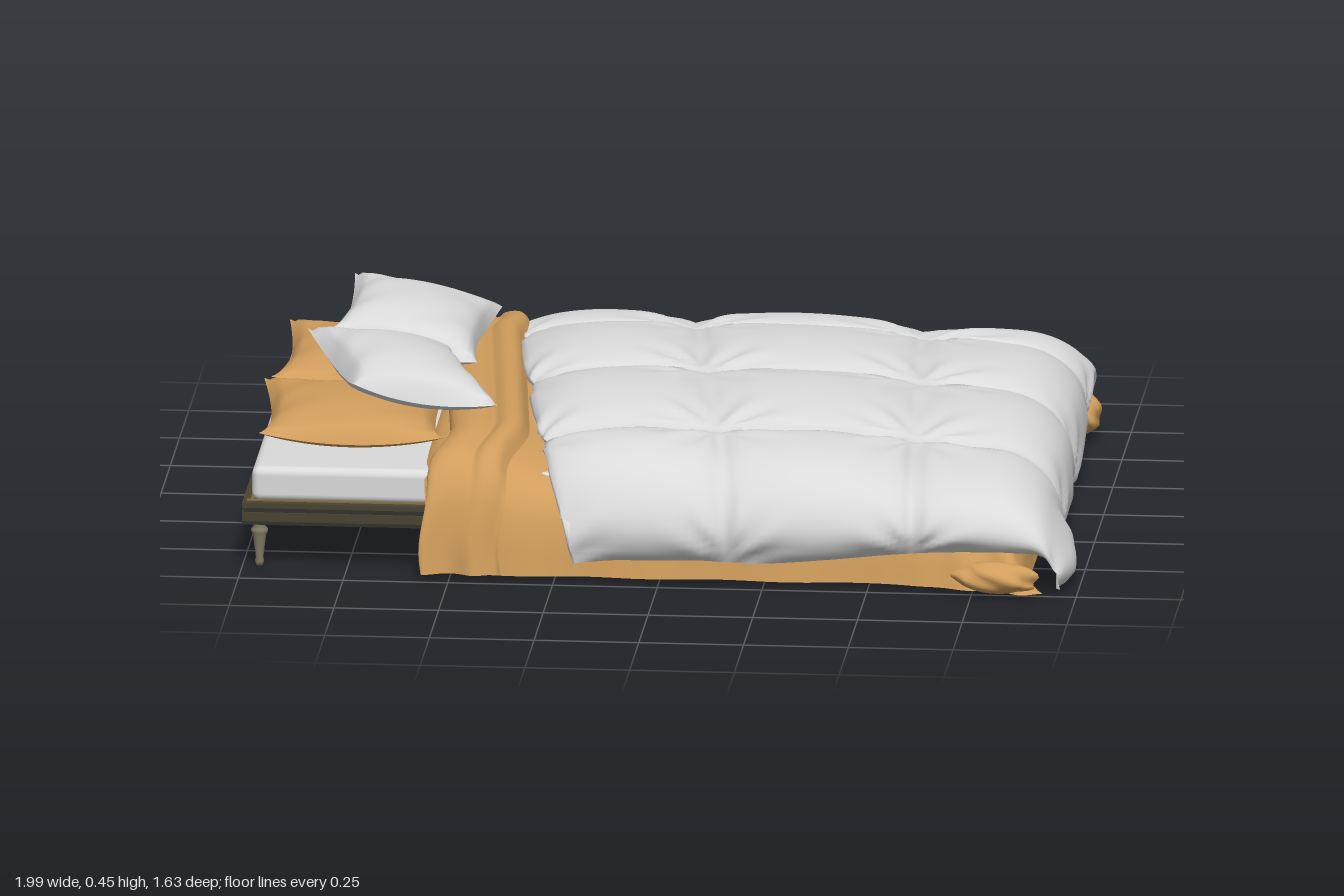
import * as THREE from 'three';
import { ParametricGeometry } from 'three/addons/geometries/ParametricGeometry.js';
import { RoundedBoxGeometry } from 'three/addons/geometries/RoundedBoxGeometry.js';

const mat = (name, color, side = THREE.FrontSide) => {
  const m = new THREE.MeshStandardMaterial({ color, side });
  m.name = name;
  return m;
};
const smooth = THREE.MathUtils.smoothstep;
const lerp = THREE.MathUtils.lerp;
const curve = (pts) => new THREE.CatmullRomCurve3(pts.map(([x, y]) => new THREE.Vector3(x, y, 0)));

// Cloth laid over the bed: one profile along x, one half profile across z.
// The across profile holds [distance, drop]; drop 1 is the hanging hem.
function drape(along, across, bottom, nu, nv, warp) {
  const A = curve(along);
  const C = curve(across.map(([z, d]) => [z, d * 0.28]));
  const geo = new ParametricGeometry((u, v, p) => {
    const t = 2 * u - 1;
    const c = C.getPointAt(Math.min(1, Math.abs(t)));
    const a = A.getPointAt(THREE.MathUtils.clamp(v, 0, 1));
    const drop = c.y / 0.28;
    p.set(a.x, lerp(a.y, Math.min(bottom, a.y), drop), Math.sign(t) * c.x);
    warp(p, drop, t, v);
  }, nu, nv);
  geo.computeVertexNormals();
  return geo;
}

// Soft cushion with pinched edges and pointed corners; the underside is flatter
function cushion(w, h, l) {
  const group = new THREE.Group();
  for (const s of [1, -1]) {
    const geo = new ParametricGeometry((u, v, p) => {
      const a = s * (2 * u - 1), b = 2 * v - 1;
      const fill = Math.max(0, (1 - a * a) * (1 - b * b));
      const crease = 0.07 * Math.sin(9 * a + 4 * b) * (1 - fill) * Math.sqrt(fill);
      p.set(
        (w / 2) * b * (1 - 0.11 * (1 - a * a) * b * b),
        h * (s > 0 ? 0.78 : -0.22) * (Math.pow(fill, 0.42) + crease) + 0.03 * a * a * b * b,
        (l / 2) * a * (1 - 0.09 * (1 - b * b) * a * a));
    }, 26, 22);
    geo.computeVertexNormals();
    group.add(new THREE.Mesh(geo));
  }
  return group;
}

export function createModel() {
  const white = mat('white linen', 0xdadada, THREE.DoubleSide);
  const ochre = mat('ochre cloth', 0xd09d5c, THREE.DoubleSide);
  const wood = mat('dark wood', 0x4a4332);
  const trim = mat('worn gilt trim', 0x80693f);
  const metal = mat('leg wood', 0x857b67);
  const under = mat('black underside', 0x31322a);

  const model = new THREE.Group();
  const add = (name, geo, m, x = 0, y = 0, z = 0) => {
    const mesh = new THREE.Mesh(geo, m);
    mesh.name = name;
    mesh.position.set(x, y, z);
    model.add(mesh);
    return mesh;
  };

  // Bed base: two-bar rails around a dark recess, trim strips and underside panel
  const x0 = -1, x1 = 0.86, hz = 0.65, len = x1 - x0, mid = (x0 + x1) / 2;
  for (const s of [1, -1]) {
    for (const [y, h] of [[0.124, 0.022], [0.152, 0.012]]) {
      add('sideRail', new THREE.BoxGeometry(len, h, 0.03), wood, mid, y, s * (hz - 0.015));
      add('endRail', new THREE.BoxGeometry(0.03, h, 2 * hz), wood, mid + s * (len / 2 - 0.015), y, 0);
    }
    add('sideTrim', new THREE.BoxGeometry(len - 0.02, 0.006, 0.01), trim, mid, 0.158, s * (hz - 0.024));
  }
  add('headTrim', new THREE.BoxGeometry(0.008, 0.006, 2 * hz - 0.05), trim, x0 + 0.022, 0.158, 0);
  add('railRecess', new THREE.BoxGeometry(len - 0.008, 0.04, 2 * hz - 0.008), under, mid, 0.134, 0);
  add('undersidePanel', new THREE.BoxGeometry(len, 0.01, 2 * hz), under, mid, 0.11, 0);

  // Turned legs
  const legProfile = [[0, 0], [0.008, 0], [0.011, 0.01], [0.009, 0.02], [0.016, 0.075], [0.02, 0.082],
    [0.02, 0.09], [0.014, 0.096], [0.018, 0.11]].map(([r, y]) => new THREE.Vector2(r, y));
  for (const x of [-0.96, 0.82]) for (const z of [-0.625, 0.625])
    add('leg', new THREE.LatheGeometry(legProfile, 12), metal, x, 0, z);

  // Mattress
  add('mattress', new RoundedBoxGeometry(1.735, 0.085, 1.235, 4, 0.02), white, -0.1125, 0.195, 0);

  // Ochre blanket hanging to the floor, flaring at the foot corners
  const hang = [[0, 0], [0.3, 0], [0.52, 0.03], [0.62, 0.12], [0.675, 0.32], [0.7, 0.6], [0.715, 1]];
  const blanketWarp = (p, drop, t) => {
    const foot = smooth(p.x, 0.55, 0.88), head = 1 - smooth(p.x, -0.57, -0.1);
    const side = Math.sign(t), x = p.x;
    if (side < 0) p.x -= 0.11 * head * smooth(-p.z, 0.52, 0.68);
    else p.x += 0.03 * head * drop;
    p.z += side * drop * (0.006 * Math.sin(19 * x + 2 * side) + foot * (0.07 + 0.015 * Math.sin(55 * x)));
    p.x += 0.04 * foot * smooth(Math.abs(t), 0.8, 1);
    p.y += 0.004 * Math.sin(5 * p.z + 18 * x) * (1 - drop);
  };
  add('blanket', drape([[-0.57, 0.25], [-0.55, 0.27], [-0.47, 0.285], [-0.38, 0.28], [-0.28, 0.262], [0.3, 0.255],
    [0.65, 0.235], [0.82, 0.205], [0.86, 0.12], [0.88, 0.015]], hang, 0.012, 70, 90, blanketWarp), ochre);

  // Folded hem lying over the blanket's head edge
  const wide = hang.map(([z, d]) => [z + (d > 0.1 ? 0.014 : 0), d]);
  add('foldedHem', drape([[-0.565, 0.265], [-0.56, 0.295], [-0.52, 0.32], [-0.47, 0.318], [-0.455, 0.308], [-0.44, 0.324],
    [-0.4, 0.326], [-0.375, 0.285]], wide, 0.015, 70, 20, (p, drop, t, v) => {
    p.x += 0.1 * p.z * (1 - smooth(Math.abs(p.z), 0.4, 0.66)) + 0.008 * Math.sin(6 * drop) * Math.sign(t);
    if (t < 0) p.x -= 0.05 * smooth(-p.z, 0.5, 0.68);
    p.z += Math.sign(t) * drop * 0.01 * Math.sin(v * 12);
  }), ochre);

  // Bunched blanket corners on the floor
  for (const [x, z, sx, sy, sz, r] of [[0.81, 0.765, 0.1, 0.038, 0.04, -0.1], [0.885, -0.7, 0.045, 0.05, 0.085, 0.2]]) {
    const lump = new THREE.SphereGeometry(1, 28, 16);
    const q = lump.attributes.position;
    for (let i = 0; i < q.count; i++) {
      const k = 1 + 0.1 * Math.sin(6 * q.getX(i) + 5 * q.getY(i)) + 0.07 * Math.sin(9 * q.getZ(i));
      q.setXYZ(i, q.getX(i) * k * sx, q.getY(i) * sy, q.getZ(i) * k * sz);
    }
    lump.computeVertexNormals();
    add('bunchedCorner', lump, ochre, x, sy + 0.01, z).rotation.y = r;
  }

  // Quilted duvet: draped base, then puffed along its normals between seams
  const nu = 112, nv = 96;
  const duvet = drape(
    [[-0.37, 0.27], [-0.375, 0.31], [-0.31, 0.34], [-0.18, 0.357], [0.1, 0.352], [0.4, 0.335], [0.68, 0.3],
      [0.82, 0.268], [0.895, 0.205], [0.925, 0.11], [0.935, 0.02]],
    [[0, 0], [0.25, 0.02], [0.5, 0.09], [0.65, 0.25], [0.73, 0.48], [0.765, 0.73], [0.755, 1]],
    0.055, nu, nv, (p, drop, t, v) => {
      const foot = smooth(p.x, 0.5, 0.93), x = p.x, rim = smooth(Math.abs(t), 0.5, 0.85);
      p.x += p.z * lerp(0.14, 0.02, smooth(x, 0.1, 0.9));
      p.z -= x * lerp(0.13, t < 0 ? 0.06 : 0.005, rim);
      if (t > 0) p.x += 0.07 * drop * (1 - smooth(x, -0.35, 0.2));
      p.x += 0.055 * foot * smooth(v, 0.88, 1) * Math.exp(-Math.pow((t - 0.72) / 0.16, 2));
      p.y += 0.035 * drop * smooth(x, 0.1, 0.7) * (1 - smooth(v, 0.85, 0.97));
      // foot hem lifted toward the right-hand corner, which tucks in
      const hem = smooth(v, 0.86, 1);
      p.y += hem * (0.03 * smooth(-t, 0.15, 0.5) + 0.07 * Math.exp(-Math.pow((t + 0.72) / 0.12, 2)));
      p.x -= 0.04 * hem * smooth(-t, 0.8, 1);
      p.z += 0.05 * hem * smooth(-t, 0.85, 1);
    });
  const pos = duvet.attributes.position, nor = duvet.attributes.normal;
  for (let j = 0; j <= nv; j++) for (let i = 0; i <= nu; i++) {
    const k = j * (nu + 1) + i, u = i / nu, v = j / nv;
    const cu = 4 * u, cv = 3 * v + 0.09 * Math.sin(Math.PI * v);
    const a = Math.abs(Math.sin(Math.PI * cu)), b = Math.abs(Math.sin(Math.PI * cv));
    const puff = Math.pow(a, 0.42) * Math.pow(b, 0.42);
    // wrinkles radiate from the nearest tuft
    const du = cu - Math.round(cu), dv = cv - Math.round(cv), r = Math.hypot(du, dv);
    const wrinkle = 0.006 * Math.sin(9 * Math.atan2(dv, du) + 3 * Math.round(cu) + Math.round(cv)) *
      smooth(r, 0.03, 0.15) * (1 - smooth(r, 0.15, 0.5));
    // corners stay unpuffed
    const corner = smooth(Math.max(Math.min(u, 1 - u), Math.min(v, 1 - v)), 0, 0.1);
    const d = (0.048 * puff - 0.03 + wrinkle) * corner;
    pos.setXYZ(k, pos.getX(k) + nor.getX(k) * d,
      Math.max(0.006, pos.getY(k) + nor.getY(k) * d), pos.getZ(k) + nor.getZ(k) * d);
  }
  duvet.computeVertexNormals();
  add('duvet', duvet, white);

  // Pillows: two flat ochre ones, two tilted white ones resting on them
  const pillows = [
    ['ochrePillow', ochre, 0.44, 0.09, 0.52, -0.77, 0.255, -0.275, 0, -0.02],
    ['ochrePillow', ochre, 0.44, 0.09, 0.5, -0.77, 0.255, 0.235, 0.06, -0.02],
    ['whitePillow', white, 0.36, 0.12, 0.51, -0.67, 0.345, -0.265, -0.03, -0.2],
    ['whitePillow', white, 0.36, 0.12, 0.52, -0.66, 0.35, 0.2, 0.3, -0.2],
  ];
  for (const [name, m, w, h, l, x, y, z, turn, tilt] of pillows) {
    const p = cushion(w, h, l);
    p.name = name;
    p.children.forEach((c) => { c.material = m; c.name = name + 'Half'; });
    p.rotation.set(0, turn, tilt, 'YXZ');
    p.position.set(x, y, z);
    model.add(p);
  }
  return model;
}
